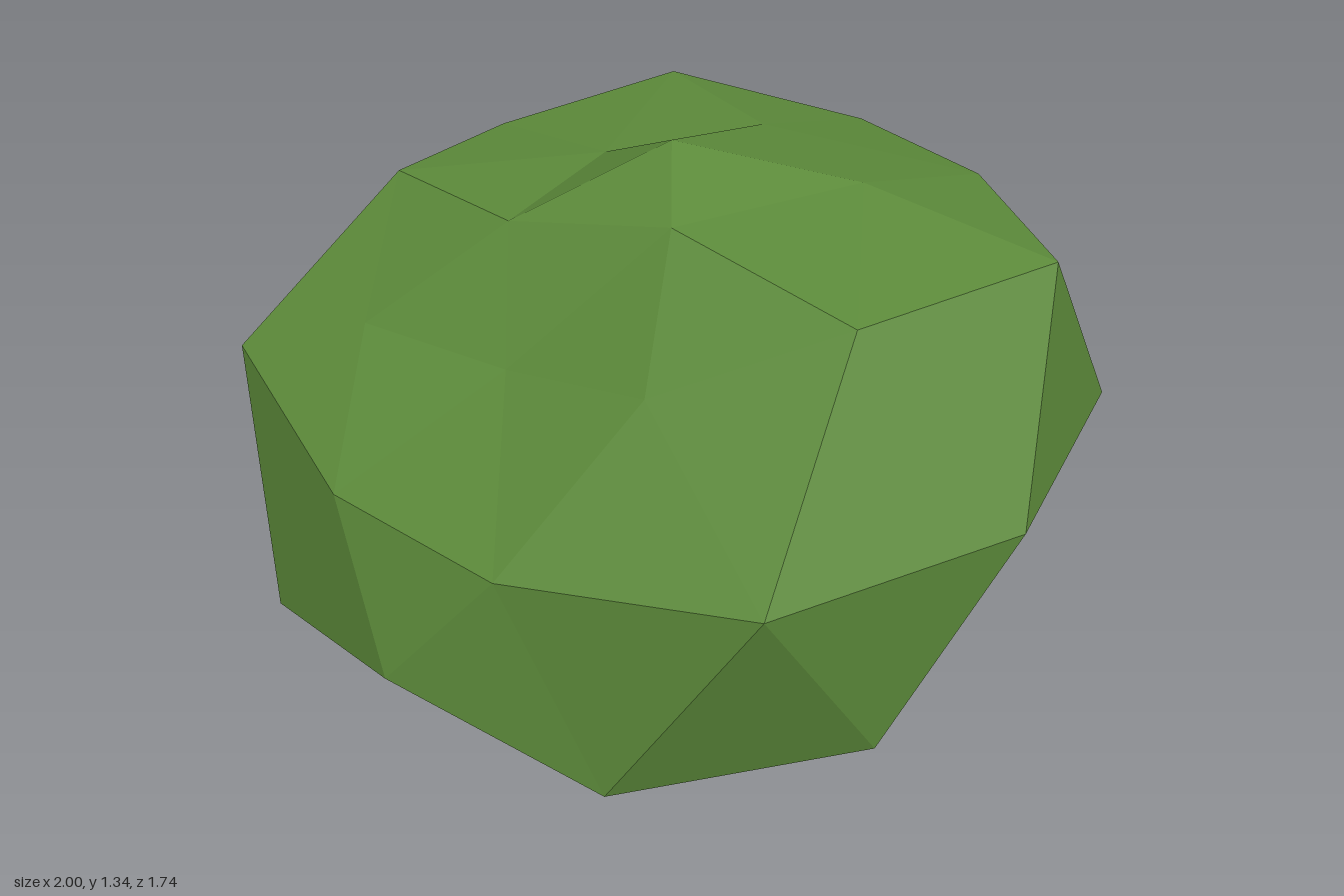
import * as THREE from 'three';

// Rings of foliage points from crown to base, counter-clockwise seen from above
const crown = [0.05, 1.34, 0];
const upper = [
  [0.48, 1.29, -0.06], [0.13, 1.25, -0.36], [-0.2, 1.19, -0.19], [-0.26, 1.17, 0.2], [0.16, 1.26, 0.26],
];
const shoulder = [
  [0.94, 1.22, 0.01], [0.64, 1.19, -0.42], [0.25, 1.14, -0.73], [-0.23, 1.21, -0.67], [-0.57, 1.12, -0.39],
  [-0.65, 1.14, 0], [-0.57, 0.91, 0.33], [-0.16, 0.93, 0.43], [0.22, 1.0, 0.54], [0.64, 1.2, 0.43],
];
const middle = [
  [1, 0.75, -0.31], [0.62, 0.76, -0.83], [0, 0.74, -0.81], [-0.62, 0.77, -0.83], [-1, 0.77, -0.31],
  [-0.92, 0.77, 0.32], [-0.48, 0.66, 0.66], [0, 0.66, 0.83], [0.62, 0.76, 0.87], [1, 0.75, 0.34],
];
const skirt = [
  [0.77, 0.28, 0.02], [0.76, 0.28, -0.53], [0.26, 0.26, -0.74], [-0.3, 0.3, -0.87], [-0.69, 0.2, -0.5],
  [-0.94, 0.3, 0], [-0.73, 0.22, 0.54], [-0.27, 0.34, 0.84], [0.27, 0.21, 0.87], [0.77, 0.28, 0.57],
];
const under = [
  [0.33, 0.12, -0.27], [-0.16, 0.09, -0.45], [-0.41, 0.1, 0], [-0.15, 0.03, 0.45], [0.31, 0.12, 0.27],
];
const base = [0, 0.1, 0];

// Stitch the rings together like a once-subdivided icosahedron
function foliageGeometry() {
  const pos = [];
  const tri = (...corners) => corners.forEach((c) => pos.push(...c));
  const at = (ring, i) => ring[i % ring.length];

  for (let i = 0; i < 5; i++) {
    const a = upper[i], b = at(upper, i + 1);
    const s = shoulder[2 * i + 1];
    tri(crown, a, b);
    tri(a, shoulder[2 * i], s);
    tri(a, s, b);
    tri(b, s, at(shoulder, 2 * i + 2));

    const c = under[i], d = at(under, i + 1);
    const k = at(skirt, 2 * i + 2);
    tri(base, d, c);
    tri(c, k, skirt[2 * i + 1]);
    tri(c, d, k);
    tri(d, at(skirt, 2 * i + 3), k);
  }
  for (let j = 0; j < 10; j++) {
    const m = middle[j], n = at(middle, j + 1);
    const s = at(shoulder, j + 1), k = at(skirt, j + 1);
    tri(shoulder[j], m, s);
    tri(m, n, s);
    tri(m, skirt[j], k);
    tri(m, k, n);
  }
  const geo = new THREE.BufferGeometry();
  geo.setAttribute('position', new THREE.Float32BufferAttribute(pos, 3));
  geo.computeVertexNormals();
  return geo;
}

// Square stick standing on the ground and leaning by (dx, dz) at its top
function stemGeometry(dx, dz, height) {
  const geo = new THREE.BoxGeometry(0.045, height, 0.045).translate(0, height / 2, 0);
  const shear = new THREE.Matrix4().set(
    1, dx / height, 0, 0,
    0, 1, 0, 0,
    0, dz / height, 1, 0,
    0, 0, 0, 1,
  );
  return geo.applyMatrix4(shear);
}

export function createModel() {
  const group = new THREE.Group();
  group.name = 'bush';
  const leafMat = new THREE.MeshStandardMaterial({ color: 0x5c8a3a, flatShading: true });
  const woodMat = new THREE.MeshStandardMaterial({ color: 0x6b4020, flatShading: true });

  const foliage = new THREE.Mesh(foliageGeometry(), leafMat);
  foliage.name = 'foliage';
  group.add(foliage);

  // Stems: ground x, ground z, lean x, lean z
  const stems = [
    [-0.47, -0.19, -0.09, 0],
    [-0.165, -0.5, 0, 0.1],
    [0.175, 0.32, -0.12, -0.04],
    [0.48, -0.28, 0, -0.1],
  ];
  stems.forEach(([x, z, dx, dz], i) => {
    const stem = new THREE.Mesh(stemGeometry(dx, dz, 0.35), woodMat);
    stem.name = `stem${i + 1}`;
    stem.position.set(x, 0, z);
    group.add(stem);
  });
  return group;
}
